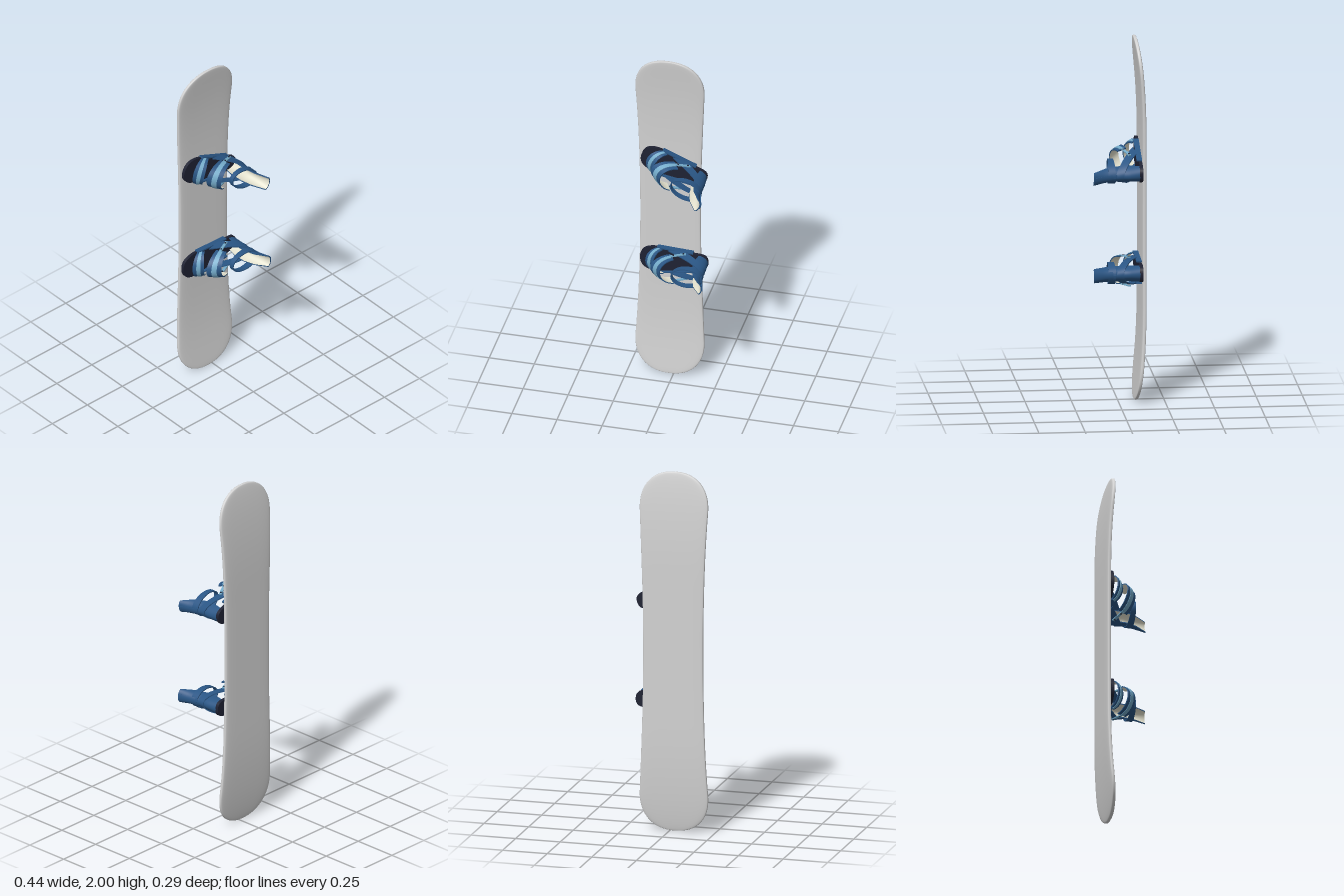
import * as THREE from 'three';

const mat = (name, color) => {
  const m = new THREE.MeshStandardMaterial({ color });
  m.name = name;
  return m;
};

// Thin curved plate: P(u, v) gives the outer face, thickness goes inward.
function shell(name, P, thick, outer, inner, o = {}) {
  const { nu = 28, nv = 2, u0 = 0, u1 = 1, v0 = 0, v1 = 1, lift = 0 } = o;
  const e = 1e-3;
  const at = (i, j, off) => {
    const u = u0 + (u1 - u0) * i / nu, v = v0 + (v1 - v0) * j / nv;
    const p = P(u, v);
    const du = P(u + e, v).sub(P(u - e, v)), dv = P(u, v + e).sub(P(u, v - e));
    return p.addScaledVector(du.cross(dv).normalize(), off);
  };
  const pos = [], idx = [], geo = new THREE.BufferGeometry();
  const sheet = (f, a, b) => {
    const base = pos.length / 3, start = idx.length;
    for (let i = 0; i <= a; i++) for (let j = 0; j <= b; j++) pos.push(...f(i, j).toArray());
    for (let i = 0; i < a; i++) for (let j = 0; j < b; j++) {
      const k = base + i * (b + 1) + j, n = k + b + 1;
      idx.push(k, n, k + 1, n, n + 1, k + 1);
    }
    return [start, idx.length - start];
  };
  const top = lift, low = lift - thick;
  const h = j => (j ? top : low);
  sheet((i, j) => at(i, j, top), nu, nv);
  sheet((i, j) => at(i, 0, h(j)), nu, 1);
  sheet((i, j) => at(i, nv, h(1 - j)), nu, 1);
  sheet((i, j) => at(0, i, h(1 - j)), nv, 1);
  sheet((i, j) => at(nu, i, h(j)), nv, 1);
  const outerCount = idx.length;
  const [s, c] = sheet((i, j) => at(nu - i, j, low), nu, nv);
  geo.addGroup(0, outerCount, 0);
  geo.addGroup(s, c, 1);
  geo.setAttribute('position', new THREE.Float32BufferAttribute(pos, 3));
  geo.setIndex(idx);
  geo.computeVertexNormals();
  const mesh = new THREE.Mesh(geo, [outer, inner]);
  mesh.name = name;
  return mesh;
}

// Board with sidecut, rounded tips and upturned ends
function makeBoard(material) {
  const rows = 96, ring = 48, pos = [], idx = [];
  const pw = (t, p) => Math.sign(t) * Math.pow(Math.abs(t), p);
  for (let i = 0; i <= rows; i++) {
    const y = 1 - Math.cos(Math.PI * i / rows), d = Math.abs(y - 1);
    const tip = Math.max(0, (d - 0.8) / 0.2);
    const round = Math.pow(Math.max(0, 1 - Math.pow(tip, 2.3)), 1 / 2.3);
    const w = (0.167 + 0.024 * Math.pow(Math.min(d / 0.8, 1), 2)) * round + 0.0005;
    const z = -0.134 + 0.038 * Math.pow(Math.max(0, (d - 0.4) / 0.6), 2.4);
    const h = 0.004 + 0.009 * Math.sqrt(round);
    for (let j = 0; j < ring; j++) {
      const a = 2 * Math.PI * j / ring;
      pos.push(-0.027 + w * pw(Math.cos(a), 0.4), y, z + h * pw(Math.sin(a), 0.4));
    }
  }
  for (let i = 0; i < rows; i++) for (let j = 0; j < ring; j++) {
    const k = (j + 1) % ring, a = i * ring, b = a + ring;
    idx.push(a + j, b + j, a + k, b + j, b + k, a + k);
  }
  const geo = new THREE.BufferGeometry();
  geo.setAttribute('position', new THREE.Float32BufferAttribute(pos, 3));
  geo.setIndex(idx);
  geo.computeVertexNormals();
  const mesh = new THREE.Mesh(geo, material);
  mesh.name = 'board';
  return mesh;
}

const mix = THREE.MathUtils.lerp;

// Arch over the foot: [x, z] centre and [x, z] width at the sides and at the crown
function archPath(side, crown, sideW, crownW, half) {
  return (u, v) => {
    const a = Math.PI * u, s = Math.sin(a), k = v - 0.5;
    return new THREE.Vector3(
      mix(side[0], crown[0], s) + k * mix(sideW[0], crownW[0], s),
      half * Math.cos(a),
      mix(side[1], crown[1], s) + k * mix(sideW[1], crownW[1], s));
  };
}

function makeBinding(m) {
  const g = new THREE.Group();
  g.name = 'binding';
  const add = (name, geo, material, x = 0, y = 0, z = 0) => {
    const mesh = new THREE.Mesh(geo, material);
    mesh.name = name;
    mesh.position.set(x, y, z);
    g.add(mesh);
    return mesh;
  };

  // Footbed: wide round toe, narrow heel
  const s = new THREE.Shape();
  s.moveTo(0.15, -0.045);
  s.quadraticCurveTo(0.187, -0.04, 0.187, 0);
  s.quadraticCurveTo(0.187, 0.04, 0.15, 0.045);
  s.lineTo(-0.05, 0.07);
  s.bezierCurveTo(-0.12, 0.082, -0.19, 0.075, -0.19, 0);
  s.bezierCurveTo(-0.19, -0.075, -0.12, -0.082, -0.05, -0.07);
  s.closePath();
  add('footbed', new THREE.ExtrudeGeometry(s, { depth: 0.018, bevelEnabled: false, curveSegments: 16 }),
    m.dark, 0, 0, -0.123);

  // Side rails
  for (const y of [-1, 1]) {
    const rail = add('sideRail', new THREE.BoxGeometry(0.2, 0.008, 0.03), m.blue, 0.01, y * 0.069, -0.107);
    rail.rotation.z = -y * 0.1;
  }

  // Heel hoop rising from the rails to the back
  const hoop = (u, v) => {
    const a = Math.PI * (u - 0.5), c = Math.cos(a), k = v - 0.5;
    return new THREE.Vector3(0.01 + 0.182 * c - k * 0.08 * (1 - c),
      0.072 * Math.sin(a), -0.095 + 0.1 * Math.pow(Math.abs(c), 0.9) + k * mix(0.012, 0.045, c));
  };
  g.add(shell('heelHoop', hoop, 0.006, m.blue, m.blue, { u0: 0.01, u1: 0.99 }));

  // Highback, curved around the heel and leaning back at the top
  const front = [0.135, 0.122, 0.127, 0.148, 0.192], back = [0.187, 0.192, 0.186, 0.198, 0.215];
  const curve = (list, t) => {
    const f = THREE.MathUtils.clamp(t * 4, 0, 4), i = Math.min(3, Math.floor(f));
    return mix(list[i], list[i + 1], f - i);
  };
  const highback = (u, v) => {
    const a = Math.PI * (u - 0.5), f = curve(front, v);
    return new THREE.Vector3(f + (curve(back, v) - f) * Math.cos(a),
      (0.044 - 0.005 * v) * Math.sin(a), -0.108 + 0.255 * v);
  };
  g.add(shell('highback', highback, 0.006, m.blue, m.cream, { nv: 16, u0: 0.02, u1: 0.98 }));
  g.add(shell('highbackSpine', highback, 0.006, m.blue, m.blue,
    { nv: 8, u0: 0.36, u1: 0.64, v0: 0.5, v1: 0.99, lift: 0.005 }));

  // Upper strap looping round the highback
  const loop = (u, v) => {
    const a = 2 * Math.PI * u;
    return new THREE.Vector3(0.107 + 0.088 * Math.cos(a), 0.058 * Math.sin(a),
      0.03 + 0.034 * v + 0.004 * Math.cos(a) * (v * 2 - 1));
  };
  g.add(shell('upperStrap', loop, 0.006, m.blue, m.blue, { nu: 48 }));

  // Instep and toe straps with a pale centre stripe
  const straps = [
    ['instepStrap', archPath([0.015, -0.022], [-0.078, 0.016], [0.03, 0.05], [0.062, 0.052], 0.077)],
    ['toeStrap', archPath([-0.07, -0.093], [-0.128, -0.055], [0.03, 0.02], [0.05, 0.036], 0.077)],
  ];
  for (const [name, path] of straps) {
    g.add(shell(name, path, 0.006, m.blue, m.cream, { u0: 0.01, u1: 0.99 }));
    g.add(shell(name + 'Stripe', path, 0.004, m.pale, m.pale,
      { u0: 0.03, u1: 0.97, v0: 0.32, v1: 0.68, lift: 0.003 }));
  }

  // Ladder links and pivots at each side
  for (const y of [-1, 1]) {
    const link = add('ladderLink', new THREE.BoxGeometry(0.085, 0.006, 0.015), m.pale, 0.042, y * 0.078, -0.04);
    link.rotation.y = 0.44;
    for (const [x, z] of [[0.018, -0.029], [0.068, -0.053]]) {
      add('pivot', new THREE.CylinderGeometry(0.005, 0.005, 0.01, 12), m.dark, x, y * 0.078, z);
    }
  }
  return g;
}

export function createModel() {
  const m = {
    board: mat('boardGrey', 0xd2d2d2),
    blue: mat('strapBlue', 0x2a5685),
    pale: mat('paleBlue', 0x74abca),
    cream: mat('cream', 0xe4e2cf),
    dark: mat('darkNavy', 0x1f2233),
  };
  const model = new THREE.Group();
  model.name = 'snowboard';
  model.add(makeBoard(m.board));
  for (const [name, y, turn] of [['lowerBinding', 0.72, 0.05], ['upperBinding', 1.32, -0.3]]) {
    const b = makeBinding(m);
    b.name = name;
    b.position.y = y;
    b.rotation.z = turn;
    model.add(b);
  }
  return model;
}
